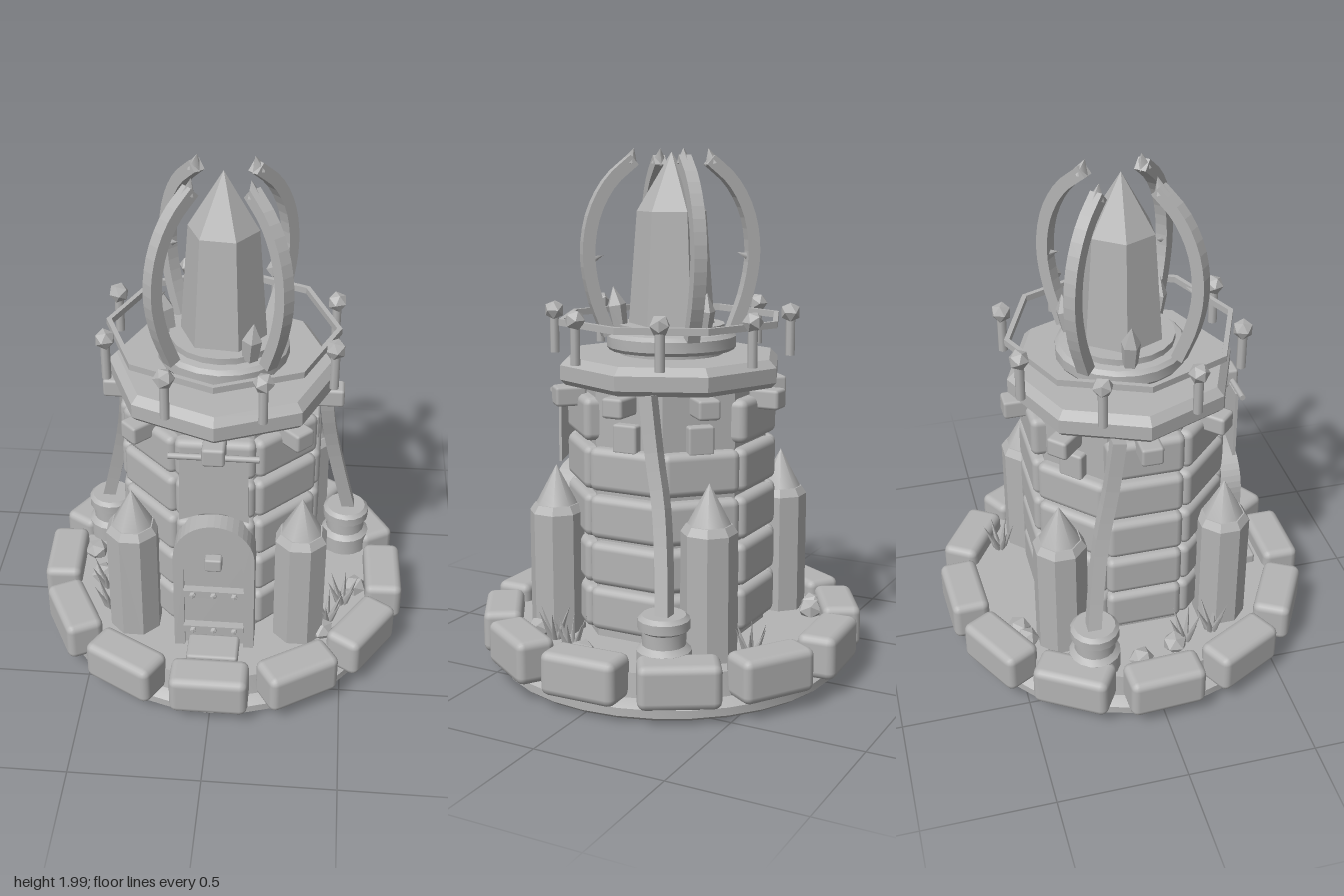
import * as THREE from 'three';
import { toCreasedNormals } from 'three/addons/utils/BufferGeometryUtils.js';
import { RoundedBoxGeometry } from 'three/addons/geometries/RoundedBoxGeometry.js';

const stone = new THREE.MeshStandardMaterial({ color: 0xb4b4b4 });
stone.name = 'grey stone';

const v2 = (p) => p.map(([x, y]) => new THREE.Vector2(x, y));
const v3 = (p) => p.map((c) => new THREE.Vector3(...c));

export function createModel() {
  const model = new THREE.Group();
  model.name = 'crystalTower';

  const add = (name, geometry, x = 0, y = 0, z = 0, ry = 0, parent = model) => {
    const mesh = new THREE.Mesh(geometry, stone);
    mesh.name = name;
    mesh.position.set(x, y, z);
    mesh.rotation.y = ry;
    parent.add(mesh);
    return mesh;
  };
  // Places a part on a circle, facing outwards
  const polar = (name, geometry, angle, r, y) =>
    add(name, geometry, Math.sin(angle) * r, y, Math.cos(angle) * r, angle);
  // Turned profile with a given number of sides
  const turned = (profile, sides, start = 0, crease = 0.5) =>
    toCreasedNormals(new THREE.LatheGeometry(v2(profile), sides, start), crease);
  // Square bar swept along a path
  const bar = (points, w, d, steps) => {
    const s = new THREE.Shape(v2([[-w, -d], [w, -d], [w, d], [-w, d]]));
    return new THREE.ExtrudeGeometry(s, {
      steps, bevelEnabled: false, extrudePath: new THREE.CatmullRomCurve3(v3(points)),
    });
  };
  const shard = (r, h, sides = 5) =>
    turned([[0, 0], [r * 0.8, 0], [r, h * 0.55], [0, h]], sides, 0, 0.1);

  // Base plate and raised ground
  add('base', turned([[0, 0], [0.66, 0], [0.68, 0.015], [0.68, 0.045], [0.66, 0.06],
    [0.64, 0.07], [0.63, 0.16], [0, 0.16]], 32));

  // Ring of kerb stones
  const kerb = new RoundedBoxGeometry(0.3, 0.165, 0.15, 2, 0.03);
  for (let i = 0; i < 12; i++) {
    const m = polar('kerbStone', kerb, i * Math.PI / 6, 0.665, 0.147);
    m.rotation.y += 0.05 * Math.sin(i * 2.3);
  }

  // Tower core and brick courses; a few upper bricks are missing or broken
  add('towerCore', turned([[0, 0.1], [0.365, 0.1], [0.365, 1.13], [0, 1.13]], 8, Math.PI / 8));
  const brick = new RoundedBoxGeometry(0.3, 0.165, 0.11, 2, 0.028);
  const brokenBrick = new RoundedBoxGeometry(0.1, 0.11, 0.08, 1, 0.01);
  [0.28, 0.457, 0.637, 0.82, 1.003].forEach((y, row) => {
    for (let i = 0; i < 8; i++) {
      const broken = row === 4 && [2, 3, 5].includes(i);
      polar(broken ? 'brokenBrick' : 'brick', broken ? brokenBrick : brick,
        i * Math.PI / 4, broken ? 0.335 : 0.328, broken ? 0.945 : y);
    }
  });

  // Corner turrets with pointed caps
  const turret = turned([[0, 0.12], [0.105, 0.12], [0.105, 0.63], [0.085, 0.66], [0, 0.66]], 8, Math.PI / 8);
  const cap = turned([[0, 0.655], [0.08, 0.66], [0, 0.81]], 8, Math.PI / 8, 0.9);
  for (const x of [-0.325, 0.325]) {
    for (const z of [-0.325, 0.325]) {
      add('turret', turret, x, 0, z);
      add('turretCap', cap, x, 0, z);
    }
  }

  // Side plinths with leaning struts
  const plinth = turned([[0, 0.14], [0.1, 0.14], [0.1, 0.23], [0.08, 0.25], [0.08, 0.3],
    [0.095, 0.31], [0.095, 0.345], [0.08, 0.36], [0, 0.36]], 16);
  for (const s of [-1, 1]) {
    add('plinth', plinth, s * 0.505, 0, -0.235);
    add('strut', bar([[s * 0.52, 0.33, -0.245], [s * 0.475, 0.52, -0.22], [s * 0.43, 0.73, -0.185],
      [s * 0.405, 0.9, -0.145], [s * 0.39, 1.12, -0.11]], 0.026, 0.026, 12));
  }

  // Corbels, ledge and railing
  const corbel = new RoundedBoxGeometry(0.085, 0.075, 0.12, 1, 0.012);
  const post = new THREE.CylinderGeometry(0.018, 0.018, 0.16, 8);
  const finial = new THREE.IcosahedronGeometry(0.04, 0);
  for (let i = 0; i < 8; i++) {
    const a = i * Math.PI / 4;
    polar('corbel', corbel, a, 0.405, 1.075);
    polar('railPost', post, a + Math.PI / 8, 0.455, 1.295);
    polar('railFinial', finial, a + Math.PI / 8, 0.455, 1.38);
  }
  add('ledge', turned([[0, 1.11], [0.42, 1.115], [0.44, 1.135], [0.44, 1.19], [0.41, 1.22], [0, 1.22]], 8));
  add('rail', turned([[0.422, 1.34], [0.442, 1.34], [0.442, 1.365], [0.422, 1.365], [0.422, 1.34]], 8));

  // Crystal pedestal
  add('pedestal', turned([[0, 1.21], [0.2, 1.21], [0.2, 1.235], [0.24, 1.237], [0.25, 1.25], [0.25, 1.29],
    [0.235, 1.305], [0.205, 1.31], [0.205, 1.335], [0, 1.335]], 20));

  // Main crystal and smaller shards around it
  add('crystal', turned([[0, 1.33], [0.165, 1.33], [0.132, 1.76], [0, 1.98]], 6, 0.42, 0.1));
  [[0.11, 0.165, 0.16], [-0.21, -0.02, 0.17], [0.09, -0.18, 0.15]].forEach(([x, z, h]) => {
    const m = add('smallCrystal', shard(0.038, h), x, 1.32, z);
    m.rotation.set(z * 0.8, 0, -x * 0.8);
  });

  // Four curved claws with pointed tips and a small thorn
  const claw = bar([[0.25, 1.3, 0], [0.305, 1.45, 0], [0.328, 1.6, 0], [0.305, 1.75, 0],
    [0.24, 1.87, 0], [0.15, 1.95, 0]], 0.024, 0.024, 16);
  const tip = new THREE.ConeGeometry(0.032, 0.06, 4);
  const thorn = new THREE.ConeGeometry(0.015, 0.05, 4);
  for (let i = 0; i < 4; i++) {
    const g = new THREE.Group();
    g.name = 'claw';
    g.rotation.y = Math.PI / 4 + i * Math.PI / 2;
    add('clawArm', claw, 0, 0, 0, 0, g);
    add('clawTip', tip, 0.155, 1.965, 0, 0, g).rotation.z = 0.3;
    add('clawThorn', thorn, 0.29, 1.59, 0, 0, g).rotation.z = 1.2;
    model.add(g);
  }

  // Arched door: frame, panel, bands, bolts and window
  const arch = (w, bottom, spring, top) => {
    const s = new THREE.Shape();
    s.moveTo(-w, bottom);
    s.lineTo(w, bottom);
    s.lineTo(w, spring);
    s.absellipse(0, spring, w, top - spring, 0, Math.PI, false);
    s.lineTo(-w, bottom);
    return s;
  };
  const frame = arch(0.155, 0.14, 0.6, 0.76);
  frame.holes.push(arch(0.115, 0.15, 0.53, 0.635));
  const slab = (shape, depth) =>
    new THREE.ExtrudeGeometry(shape, { depth, bevelEnabled: false, curveSegments: 10 });
  add('doorFrame', slab(frame, 0.12), 0, 0, 0.34);
  add('door', slab(arch(0.118, 0.14, 0.53, 0.637), 0.1), 0, 0, 0.34);
  const bolt = new THREE.IcosahedronGeometry(0.014, 0);
  for (const y of [0.255, 0.435]) {
    add('doorBand', new THREE.BoxGeometry(0.235, 0.032, 0.04), 0, y, 0.452);
    for (const x of [-0.08, 0, 0.08]) add('doorBolt', bolt, x, y, 0.474);
  }
  add('doorWindow', new RoundedBoxGeometry(0.065, 0.055, 0.045, 1, 0.008), 0, 0.59, 0.462);
  add('doorStep', new RoundedBoxGeometry(0.2, 0.06, 0.13, 1, 0.012), 0, 0.17, 0.5);

  // Hanging banner with notched hem
  const cloth = new THREE.Shape(v2([[-0.125, 1.06], [-0.13, 0.77], [0, 0.82], [0.13, 0.77], [0.125, 1.06]]));
  add('banner', slab(cloth, 0.012), 0, 0, 0.425);
  add('bannerRod', new THREE.CylinderGeometry(0.012, 0.012, 0.33, 8), 0, 1.065, 0.44).rotation.z = Math.PI / 2;

  // Tufts of pointed blades and loose rocks on the ground
  const blade = new THREE.ConeGeometry(0.016, 0.15, 4);
  [[-0.47, 0.14], [-0.44, 0.26], [0.44, 0.27], [0.27, -0.47], [0.5, 0.16]].forEach(([x, z], k) => {
    for (let i = 0; i < 6; i++) {
      const a = i * Math.PI / 3 + k;
      const m = add('grassBlade', blade, x + 0.035 * Math.sin(a), 0.21, z + 0.035 * Math.cos(a));
      m.rotation.set(0.4 * Math.cos(a), 0, -0.4 * Math.sin(a));
    }
  });
  const rock = new THREE.IcosahedronGeometry(0.05, 0);
  [[0.55, 0.08], [-0.55, -0.06], [-0.26, -0.49], [-0.5, 0.09], [-0.33, -0.47], [0.42, 0.35]].forEach(([x, z], i) => {
    add('rock', rock, x, 0.18, z, i).scale.y = 0.9;
  });

  return model;
}
